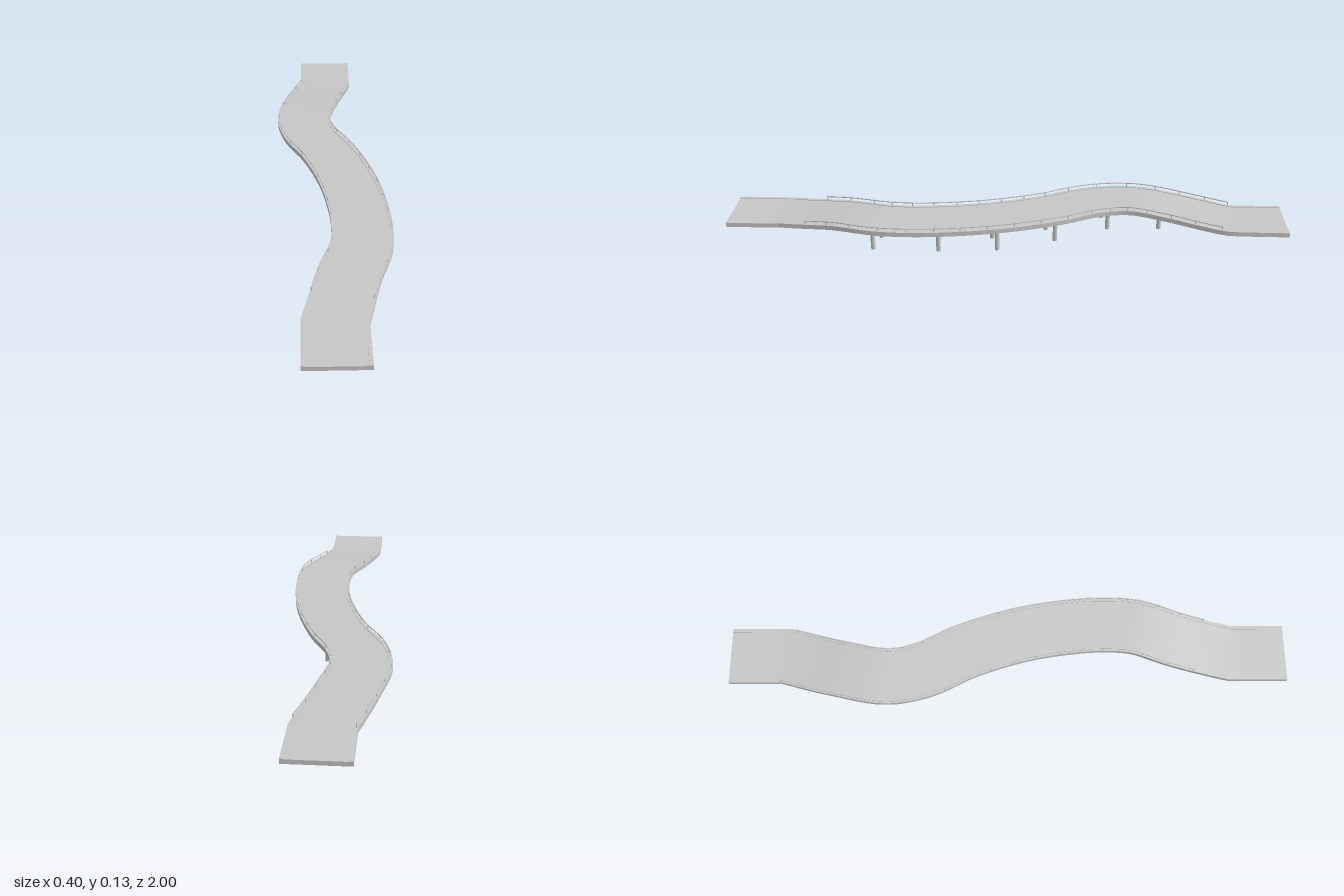
import * as THREE from 'three';

// Centre line of the bridge: x for each z between the straight ends
const zs = [-0.8, -0.6, -0.43, -0.3, -0.16, 0.04, 0.2, 0.34, 0.46, 0.6, 0.8];
const xs = [-0.007, -0.064, -0.097, -0.073, -0.007, 0.057, 0.085, 0.095, 0.086, 0.041, -0.007];
const spline = new THREE.CubicInterpolant(zs, xs, 1);
const centre = z => (Math.abs(z) >= 0.8 ? -0.007 : spline.evaluate(z)[0]);

// Height of the deck underside: low ends, raised middle
const base = z => 0.069 + 0.029 * (1 - THREE.MathUtils.smoothstep(Math.abs(z), 0.45, 0.85));

// Point at a sideways offset and a height above the underside
function place(z, side, up) {
  const e = 0.02;
  const s = (centre(z + e) - centre(z - e)) / (2 * e);
  const l = Math.hypot(1, s);
  return new THREE.Vector3(centre(z) + side / l, base(z) + up, z - (side * s) / l);
}

// Sweep a convex section (side, up) along the bridge, with hard long edges
function sweep(section, z0, z1, steps) {
  const pos = [], index = [];
  const n = section.length;
  section.forEach((a, k) => {
    const b = section[(k + 1) % n];
    const first = pos.length / 3;
    for (let i = 0; i <= steps; i++) {
      const z = z0 + ((z1 - z0) * i) / steps;
      pos.push(...place(z, ...a).toArray(), ...place(z, ...b).toArray());
      if (i < steps) {
        const p = first + i * 2;
        index.push(p, p + 1, p + 3, p, p + 3, p + 2);
      }
    }
  });
  // end caps
  for (const z of [z0, z1]) {
    const first = pos.length / 3;
    section.forEach(p => pos.push(...place(z, ...p).toArray()));
    for (let i = 1; i < n - 1; i++) {
      if (z === z1) index.push(first, first + i, first + i + 1);
      else index.push(first, first + i + 1, first + i);
    }
  }
  const g = new THREE.BufferGeometry();
  g.setAttribute('position', new THREE.Float32BufferAttribute(pos, 3));
  g.setIndex(index);
  g.computeVertexNormals();
  return g;
}

const rect = (x0, x1, y0, y1) => [[x0, y0], [x1, y0], [x1, y1], [x0, y1]];

export function createModel() {
  const model = new THREE.Group();
  model.name = 'bridge';
  const concrete = new THREE.MeshStandardMaterial({ color: 0xc6c6c6 });
  concrete.name = 'light grey';

  function add(name, geometry, position) {
    const mesh = new THREE.Mesh(geometry, concrete);
    mesh.name = name;
    if (position) mesh.position.copy(position);
    model.add(mesh);
  }

  // Road deck
  add('deck', sweep(rect(-0.103, 0.103, 0, 0.0145), -1, 1, 100));

  // Kerbs, handrails and posts on both edges
  const railStart = -0.79, railEnd = 0.69, posts = 18;
  const postGeometry = new THREE.BoxGeometry(0.003, 0.016, 0.003);
  for (const side of [1, -1]) {
    const label = side > 0 ? 'left' : 'right';
    const kerbMid = side * 0.097, railMid = side * 0.098;
    add(label + 'Kerb', sweep(rect(kerbMid - 0.006, kerbMid + 0.006, 0.013, 0.0165), -1, 1, 100));
    add(label + 'Handrail', sweep(rect(railMid - 0.0018, railMid + 0.0018, 0.028, 0.031), railStart, railEnd, 80));
    for (let i = 0; i < posts; i++) {
      const z = THREE.MathUtils.lerp(railStart + 0.003, railEnd - 0.003, i / (posts - 1));
      add(label + 'RailPost', postGeometry, place(z, railMid, 0.022));
    }
  }

  // Paired piers: position along the bridge and foot height
  const piers = [
    [0.66, 0.07], [0.46, 0.01], [0.24, 0.01], [0.04, 0],
    [-0.16, 0.005], [-0.36, 0.014], [-0.565, 0.027],
  ];
  for (const [z, foot] of piers) {
    for (const side of [-0.044, 0.044]) {
      const top = place(z, side, 0.006);
      const height = top.y - foot;
      top.y = foot + height / 2;
      add('pier', new THREE.CylinderGeometry(0.008, 0.008, height, 16), top);
    }
  }
  return model;
}
